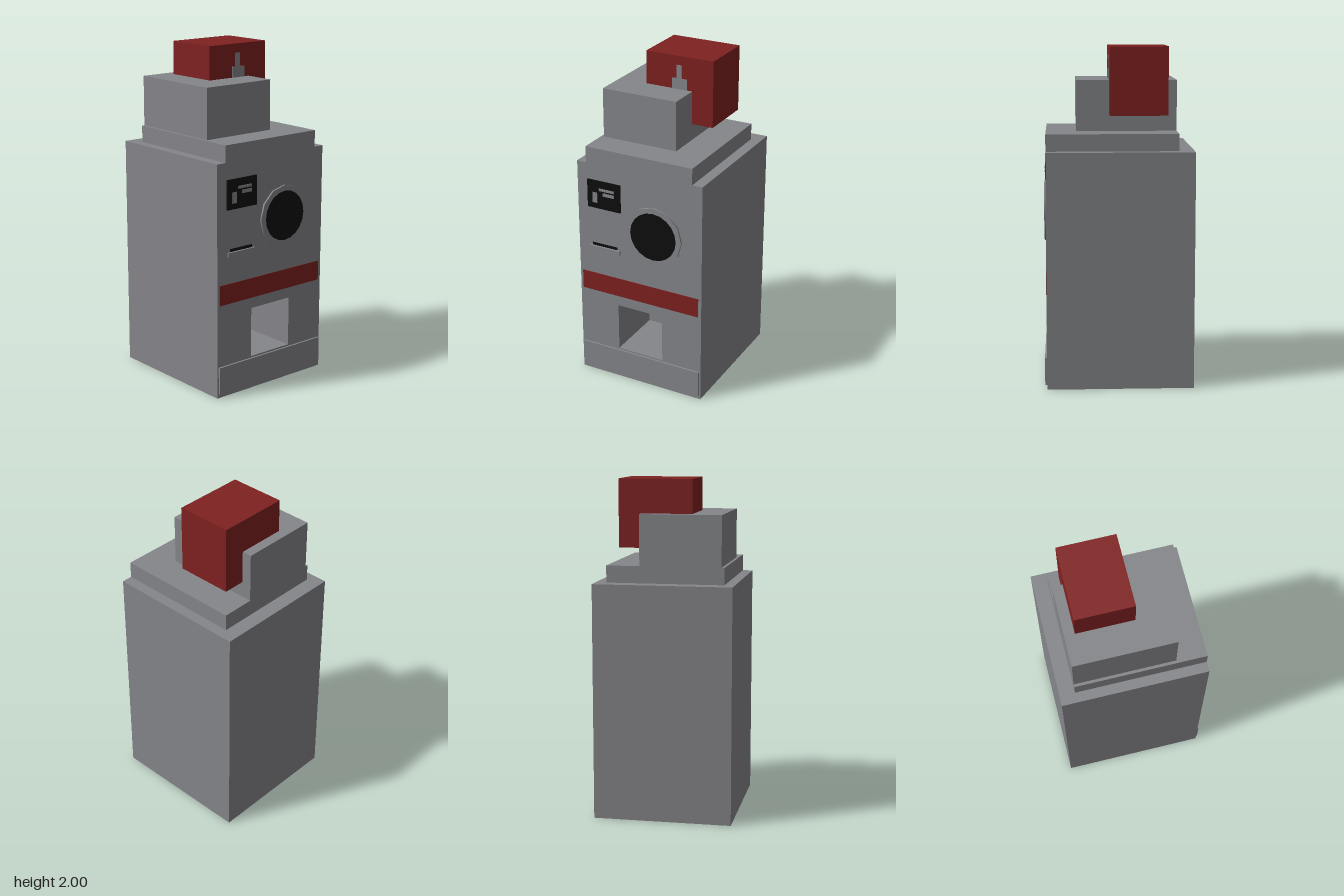
import * as THREE from 'three';

const mat = (name, color, side = THREE.FrontSide) => {
  const m = new THREE.MeshStandardMaterial({ color, side });
  m.name = name;
  return m;
};

export function createModel() {
  const group = new THREE.Group();
  const grey = mat('casing grey', 0x85868a, THREE.DoubleSide);
  const red = mat('dark red', 0x802121);
  const black = mat('black', 0x0d0d0d);

  const add = (name, geometry, material) => {
    const mesh = new THREE.Mesh(geometry, material);
    mesh.name = name;
    group.add(mesh);
    return mesh;
  };
  // Box given by its limits on each axis
  const box = (name, material, x0, x1, y0, y1, z0, z1) =>
    add(name, new THREE.BoxGeometry(x1 - x0, y1 - y0, z1 - z0), material)
      .position.set((x0 + x1) / 2, (y0 + y1) / 2, (z0 + z1) / 2);
  // Flat panel, turned about x or y
  const panel = (name, w, h, x, y, z, rx = 0, ry = 0) => {
    const mesh = add(name, new THREE.PlaneGeometry(w, h), grey);
    mesh.position.set(x, y, z);
    mesh.rotation.set(rx, ry, 0);
  };

  const W = 0.41, H = 1.4, F = 0.425, B = -0.44;
  const D = F - B, midZ = (F + B) / 2, half = 0.15;

  // Hollow cabinet, open underneath, with the tray opening in its front
  const front = new THREE.Shape();
  front.moveTo(-W, 0).lineTo(W, 0).lineTo(W, H).lineTo(-W, H).closePath();
  const opening = new THREE.Path();
  opening.moveTo(-half, 0.2).lineTo(-half, 0.5).lineTo(half, 0.5).lineTo(half, 0.2).closePath();
  front.holes.push(opening);
  add('cabinetFront', new THREE.ShapeGeometry(front), grey).position.z = F;
  panel('cabinetBack', 2 * W, H, 0, H / 2, B, 0, Math.PI);
  panel('cabinetTop', 2 * W, D, 0, H, midZ, -Math.PI / 2);
  for (const s of [-1, 1]) {
    panel('cabinetSide', D, H, s * W, H / 2, midZ, 0, s * Math.PI / 2);
    panel('trayWall', D, 0.5, s * half, 0.25, midZ, 0, s * Math.PI / 2);
  }
  panel('trayFloor', 2 * half, D, 0, 0.2, midZ, -Math.PI / 2);
  panel('trayCeiling', 2 * half, D, 0, 0.5, midZ, Math.PI / 2);
  panel('trayBack', 2 * half, 0.3, 0, 0.35, 0.045);

  // Stepped top and red head block
  box('lowerStep', grey, -0.35, 0.345, H, 1.5, -0.35, F);
  box('upperStep', grey, -0.333, 0.148, 1.5, 1.8, -0.35, 0.245);
  box('headBlock', red, -0.152, 0.282, 1.6, 2, -0.29, 0.05);
  box('headPlateBase', grey, 0.02, 0.115, 1.8, 1.865, 0.05, 0.054);
  box('headPlateStem', grey, 0.047, 0.08, 1.865, 1.945, 0.05, 0.054);

  // Base bar and red stripe
  box('baseBar', grey, -0.4, 0.4, 0.025, 0.19, F, 0.437);
  box('stripe', red, -0.393, 0.39, 0.565, 0.685, F, 0.428);

  // Display with its small marks
  box('display', black, -0.34, -0.12, 1.125, 1.3, F, 0.434);
  for (const [x0, x1, y0, y1] of [
    [-0.305, -0.273, 1.16, 1.225],
    [-0.26, -0.16, 1.24, 1.256],
    [-0.235, -0.16, 1.21, 1.23],
  ]) box('displayMark', grey, x0, x1, y0, y1, 0.434, 0.437);

  // Slot with a ledge below
  box('slot', black, -0.315, -0.15, 0.875, 0.892, F, 0.428);
  box('slotLedge', grey, -0.335, -0.13, 0.845, 0.873, F, 0.437);

  // Round window: twelve-sided rim and dark disc
  const rim = add('windowRim', new THREE.CylinderGeometry(0.184, 0.184, 0.011, 12), grey);
  rim.rotation.x = Math.PI / 2;
  rim.position.set(0.098, 1.023, F + 0.0055);
  add('windowDisc', new THREE.CircleGeometry(0.15, 20), black)
    .position.set(0.098, 1.023, 0.4385);

  return group;
}
